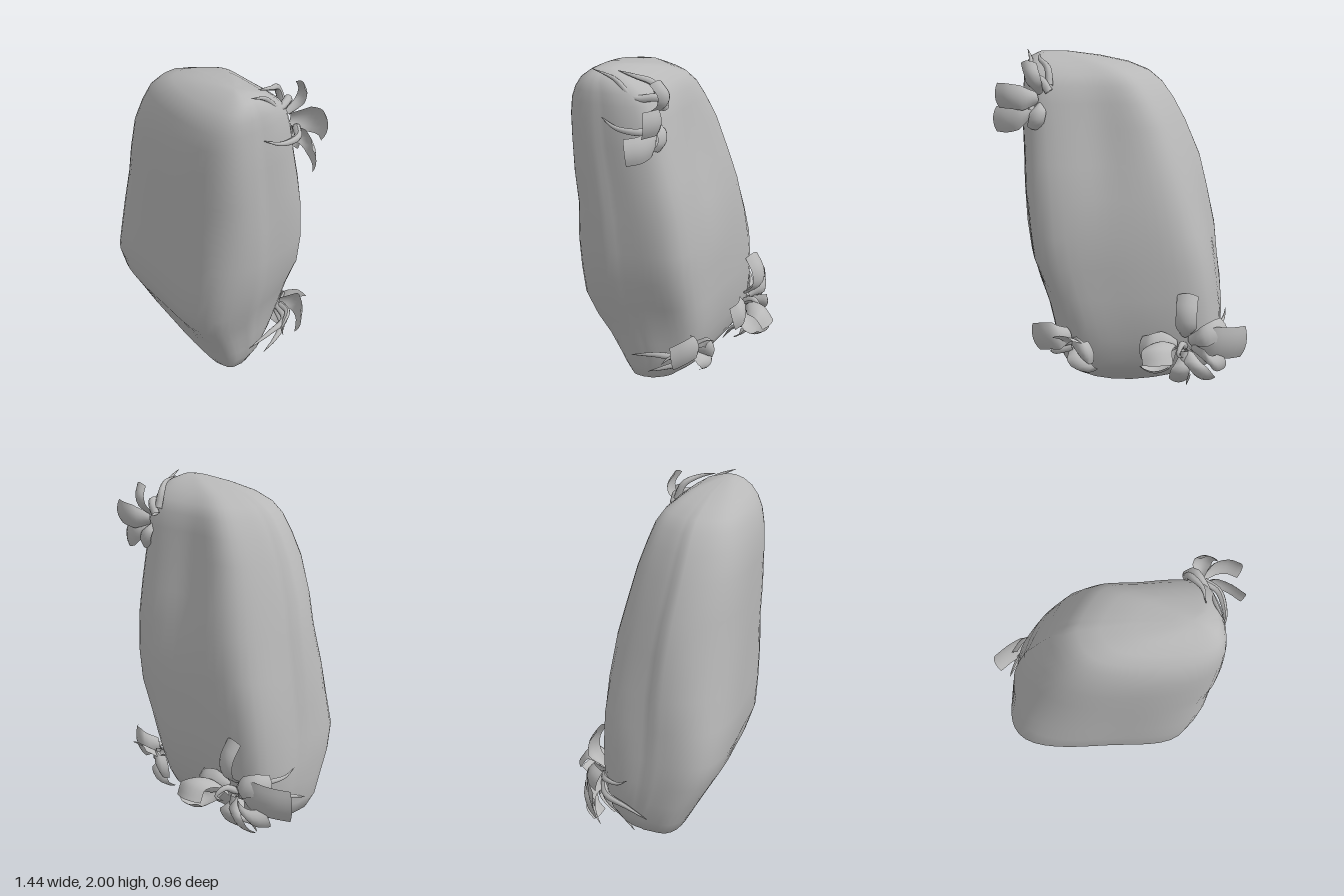
import * as THREE from 'three';

const stone = new THREE.MeshStandardMaterial({ color: 0xb8b8b8 });
stone.name = 'stone grey';
const foliage = new THREE.MeshStandardMaterial({ color: 0xb8b8b8, side: THREE.DoubleSide });
foliage.name = 'leaf grey';

const V = (p) => new THREE.Vector3(...p);
const curve = (pts) => new THREE.CatmullRomCurve3(pts.map(V));

// Boulder cross-sections: height, left/right limits in x, back/front limits in z
const SECTIONS = [
  [0.005, -0.09, 0.1, 0.08, 0.155], [0.04, -0.24, 0.23, 0.03, 0.185], [0.1, -0.39, 0.335, -0.05, 0.215],
  [0.18, -0.55, 0.37, -0.15, 0.255], [0.26, -0.585, 0.39, -0.195, 0.295], [0.38, -0.592, 0.418, -0.225, 0.36],
  [0.5, -0.592, 0.452, -0.243, 0.43], [0.64, -0.583, 0.498, -0.25, 0.475], [0.82, -0.56, 0.548, -0.25, 0.48],
  [1.0, -0.535, 0.572, -0.248, 0.48], [1.22, -0.49, 0.582, -0.225, 0.48], [1.4, -0.44, 0.588, -0.185, 0.48],
  [1.6, -0.36, 0.59, -0.135, 0.478], [1.73, -0.285, 0.588, -0.1, 0.465], [1.82, -0.22, 0.582, -0.07, 0.445],
  [1.88, -0.15, 0.573, -0.03, 0.415], [1.925, -0.04, 0.558, 0.03, 0.375], [1.96, 0.12, 0.53, 0.09, 0.32],
  [1.983, 0.3, 0.48, 0.17, 0.27],
];

// Outline radius: soft box in front, chamfered box behind.
// The front is squarer near the ground; the back is cut more at the upper right and the lower left.
function outline(c, s, y) {
  const x = Math.abs(c), z = Math.abs(s), { smoothstep } = THREE.MathUtils;
  const side = smoothstep(c, -0.3, 0.3);
  if (s > 0) {
    const n = 4.6 - smoothstep(y, 0.4, 1.3) * (2 - 0.6 * side);
    return (x ** n + z ** n) ** (-1 / n);
  }
  const cut = (1 - side) * smoothstep(y, 0.7, 1.3) + side * 0.5 * (1 - smoothstep(y, 0.5, 0.9));
  return (x ** 10 + z ** 10 + ((0.84 + 0.06 * cut) * x + (0.32 + 0.13 * cut) * z) ** 10) ** -0.1;
}

function boulder() {
  const N = 64, pos = [], idx = [];
  SECTIONS.forEach(([y, x0, x1, z0, z1]) => {
    for (let i = 0; i < N; i++) {
      const a = (i / N) * Math.PI * 2, c = Math.cos(a), s = Math.sin(a);
      const lump = 0.995 - 0.012 * Math.sin(a * 5 + y * 6) * Math.cos(a * 2 - y * 9);
      const r = outline(c, s, y) * lump;
      const x = (x0 + x1) / 2 + ((x1 - x0) / 2) * c * r;
      let z = (z0 + z1) / 2 + ((z1 - z0) / 2) * s * r;
      // shallow hollow running down the upper back
      if (s < 0) z += -s * 0.035 * Math.exp(-(((x - 0.12) / 0.15) ** 2) - ((y - 1.45) / 0.3) ** 2);
      pos.push(x, y, z);
    }
  });
  const rows = SECTIONS.length, bottom = rows * N, top = bottom + 1;
  pos.push(0, 0, 0.12, 0.4, 1.988, 0.22);
  for (let i = 0; i < N; i++) {
    const j = (i + 1) % N, t = (rows - 1) * N;
    for (let k = 0; k < rows - 1; k++) {
      const a = k * N + i, b = k * N + j;
      idx.push(a, a + N, b, b, a + N, b + N);
    }
    idx.push(bottom, i, j, top, t + j, t + i);
  }
  const g = new THREE.BufferGeometry();
  g.setAttribute('position', new THREE.Float32BufferAttribute(pos, 3));
  g.setIndex(idx);
  g.computeVertexNormals();
  return new THREE.Mesh(g, stone);
}

// Broad curved leaf: follows pts, spread along 'across', its edges cupped towards the inside of the bend
function leaf(pts, across, width, cup = 0.02) {
  const path = curve(pts), side = V(across).normalize();
  const bow = path.getPointAt(0).add(path.getPointAt(1)).multiplyScalar(-0.5).add(path.getPointAt(0.5));
  const flip = path.getTangentAt(0.5).cross(side).dot(bow) < 0 ? 1 : -1;
  const g = new THREE.PlaneGeometry(1, 1, 6, 10), p = g.attributes.position;
  for (let i = 0; i < p.count; i++) {
    const u = p.getX(i) * 2, t = p.getY(i) + 0.5;
    const w = (width / 2) * (0.5 + 0.5 * Math.min(1, t * 2.5));
    const end = t - 0.03 * u * u * t;
    const n = path.getTangentAt(end).cross(side).normalize();
    const q = path.getPointAt(end).addScaledVector(side, u * w).addScaledVector(n, flip * cup * u * u);
    p.setXYZ(i, q.x, q.y, q.z);
  }
  g.computeVertexNormals();
  return new THREE.Mesh(g, foliage);
}

// Thin tendril: a tube that tapers to its tip
function tendril(pts, radius = 0.022) {
  const path = curve(pts), seg = 16, sides = 8;
  const g = new THREE.TubeGeometry(path, seg, radius, sides), p = g.attributes.position, q = new THREE.Vector3();
  for (let i = 0; i < p.count; i++) {
    const t = Math.floor(i / (sides + 1)) / seg, c = path.getPointAt(t);
    q.fromBufferAttribute(p, i).sub(c).multiplyScalar(1.05 - t ** 2).add(c);
    p.setXYZ(i, q.x, q.y, q.z);
  }
  g.computeVertexNormals();
  return new THREE.Mesh(g, foliage);
}

function plant(name, leaves, tendrils) {
  const group = new THREE.Group();
  group.name = name;
  leaves.forEach((l, i) => { const m = leaf(...l); m.name = `${name}Leaf${i + 1}`; group.add(m); });
  tendrils.forEach((t, i) => { const m = tendril(...t); m.name = `${name}Tendril${i + 1}`; group.add(m); });
  return group;
}

export function createModel() {
  const model = new THREE.Group();
  model.name = 'overgrownBoulder';
  const body = boulder();
  body.name = 'boulder';
  model.add(body);

  // Upper plant, on the left shoulder
  model.add(plant('upperPlant', [
    [[[0.46, 1.76, -0.09], [0.54, 1.77, -0.16], [0.62, 1.78, -0.17], [0.69, 1.78, -0.14]], [0.05, 1, -0.1], 0.14],
    [[[0.48, 1.7, -0.09], [0.55, 1.67, -0.13], [0.64, 1.645, -0.11], [0.72, 1.64, -0.05]], [0, 1, 0.1], 0.14],
    [[[0.46, 1.78, -0.08], [0.48, 1.84, -0.15], [0.49, 1.9, -0.16], [0.51, 1.97, -0.12]], [1, 0, 0.2], 0.09],
    [[[0.45, 1.74, -0.08], [0.46, 1.7, -0.13], [0.47, 1.64, -0.14], [0.48, 1.59, -0.11]], [1, 0, 0], 0.09],
  ], [
    [[[0.4, 1.8, -0.1], [0.44, 1.86, -0.09], [0.5, 1.86, 0.02], [0.52, 1.95, 0.12], [0.55, 1.995, 0.23]]],
    [[[0.4, 1.83, -0.08], [0.41, 1.92, -0.04], [0.46, 1.96, 0.04], [0.47, 1.98, 0.13]], 0.02],
    [[[0.5, 1.72, -0.1], [0.57, 1.71, -0.05], [0.595, 1.72, 0.07], [0.58, 1.76, 0.17]], 0.02],
  ]));

  // Lower plant on the left of the back
  model.add(plant('lowerLeftPlant', [
    [[[0.29, 0.42, -0.21], [0.36, 0.43, -0.28], [0.44, 0.42, -0.26], [0.515, 0.385, -0.19]], [0.25, 1, 0], 0.17],
    [[[0.28, 0.38, -0.22], [0.28, 0.43, -0.29], [0.33, 0.46, -0.33]], [1, 0.2, 0], 0.12],
    [[[0.29, 0.36, -0.21], [0.25, 0.36, -0.29], [0.2, 0.34, -0.3], [0.16, 0.33, -0.26]], [0.2, 1, 0], 0.14],
    [[[0.27, 0.34, -0.2], [0.25, 0.29, -0.27], [0.22, 0.23, -0.28], [0.2, 0.19, -0.23]], [1, 0, 0], 0.13],
  ], [
    [[[0.28, 0.38, -0.2], [0.38, 0.35, -0.18], [0.425, 0.34, -0.03], [0.43, 0.3, 0.12]]],
    [[[0.28, 0.34, -0.2], [0.37, 0.3, -0.17], [0.415, 0.26, -0.08], [0.43, 0.22, 0.01]], 0.02],
    [[[0.3, 0.39, -0.21], [0.38, 0.39, -0.2], [0.43, 0.34, -0.12], [0.47, 0.32, -0.1]], 0.018],
  ]));

  // Large plant on the right of the back
  model.add(plant('lowerRightPlant', [
    [[[-0.4, 0.38, -0.25], [-0.5, 0.4, -0.29], [-0.61, 0.38, -0.25], [-0.72, 0.36, -0.17]], [-0.1, 1, -0.15], 0.21],
    [[[-0.38, 0.4, -0.25], [-0.46, 0.45, -0.31], [-0.54, 0.48, -0.28], [-0.6, 0.47, -0.2]], [0.3, 1, 0.3], 0.12],
    [[[-0.36, 0.42, -0.24], [-0.36, 0.5, -0.33], [-0.36, 0.6, -0.33], [-0.37, 0.7, -0.27]], [1, 0, 0.2], 0.12],
    [[[-0.3, 0.36, -0.25], [-0.23, 0.43, -0.32], [-0.2, 0.43, -0.42], [-0.21, 0.35, -0.48]], [1, 0, -0.1], 0.17, 0.03],
    [[[-0.28, 0.34, -0.24], [-0.21, 0.28, -0.32], [-0.19, 0.27, -0.4], [-0.18, 0.31, -0.46]], [1, 0, 0.1], 0.16, 0.03],
    [[[-0.32, 0.38, -0.24], [-0.24, 0.4, -0.29], [-0.16, 0.39, -0.31], [-0.1, 0.36, -0.27]], [0, 1, 0.3], 0.14],
    [[[-0.38, 0.34, -0.24], [-0.42, 0.28, -0.32], [-0.46, 0.21, -0.31], [-0.48, 0.16, -0.25]], [1, 0, 0.2], 0.12],
    [[[-0.36, 0.32, -0.23], [-0.34, 0.25, -0.3], [-0.33, 0.18, -0.27], [-0.33, 0.12, -0.2]], [1, 0, 0], 0.11],
    [[[-0.4, 0.35, -0.25], [-0.48, 0.32, -0.33], [-0.54, 0.28, -0.3], [-0.6, 0.27, -0.22]], [0.3, 1, -0.3], 0.12],
  ], [
    [[[-0.4, 0.36, -0.24], [-0.54, 0.36, -0.17], [-0.59, 0.34, -0.03], [-0.6, 0.29, 0.09]]],
    [[[-0.4, 0.4, -0.24], [-0.54, 0.46, -0.17], [-0.59, 0.48, -0.08], [-0.605, 0.52, -0.02]], 0.02],
    [[[-0.36, 0.34, -0.24], [-0.36, 0.23, -0.25], [-0.39, 0.13, -0.13], [-0.38, 0.04, -0.07]]],
    [[[-0.36, 0.36, -0.22], [-0.34, 0.4, -0.3], [-0.32, 0.36, -0.35], [-0.35, 0.33, -0.32]], 0.02],
  ]));
  return model;
}
